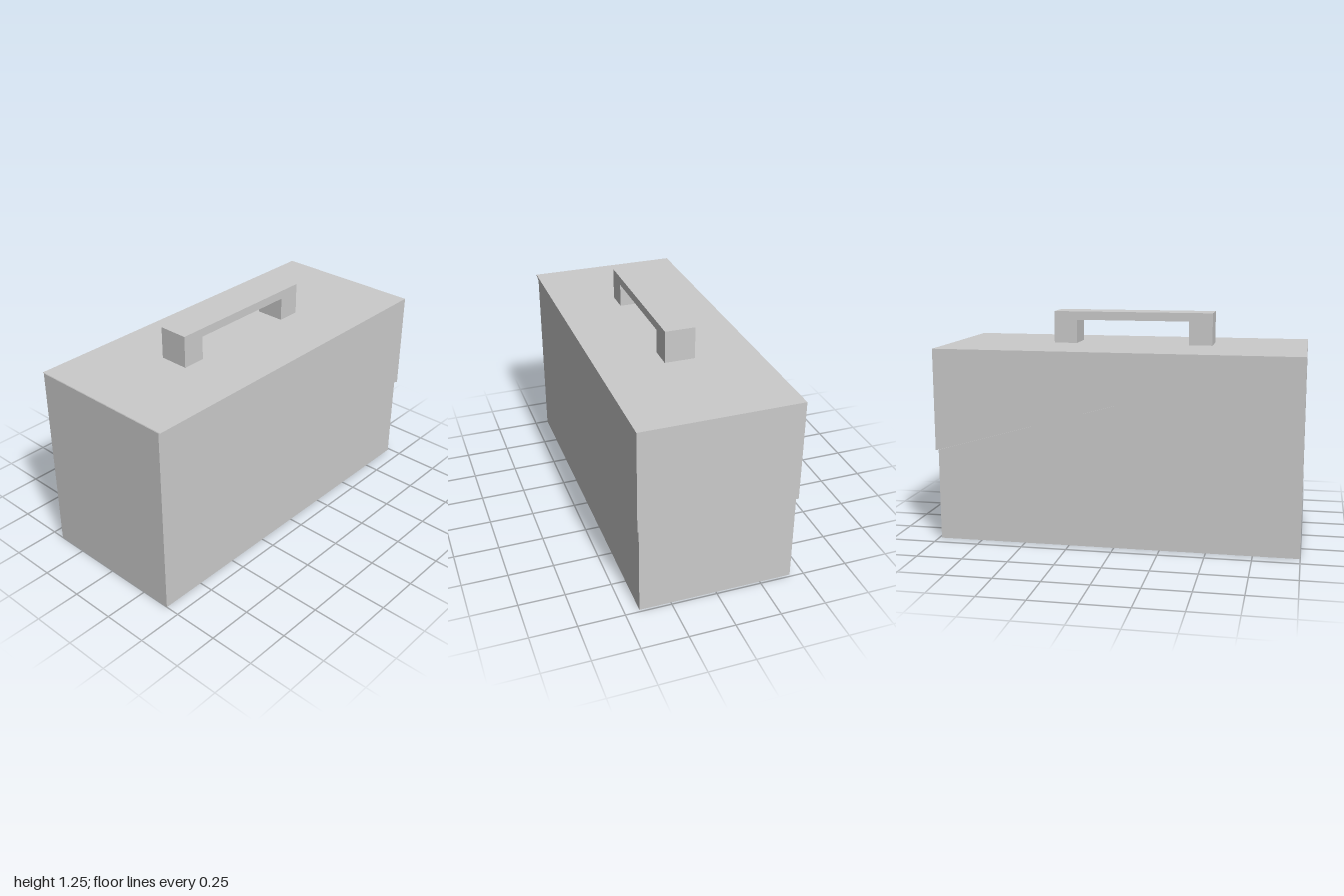
import * as THREE from 'three';

// Solid with a flat outline in x/y, extruded from z = back to z = front
function prism(name, outline, back, front) {
  const shape = new THREE.Shape(outline.map(([x, y]) => new THREE.Vector2(x, y)));
  const geometry = new THREE.ExtrudeGeometry(shape, { depth: front - back, bevelEnabled: false });
  geometry.translate(0, 0, back);
  const mesh = new THREE.Mesh(geometry, new THREE.MeshStandardMaterial({ color: 0xcccccc }));
  mesh.name = name;
  return mesh;
}

export function createModel() {
  const model = new THREE.Group();
  model.name = 'carryCase';

  // Lower half of the case, with a sloping upper face
  model.add(prism('caseBody', [[-1, 0], [0.986, 0], [0.986, 0.506], [-1, 1.064]], -0.425, 0.421));

  // Wedge-shaped lid, slightly larger than the body
  model.add(prism('lid', [[-1, 1.064], [1, 0.504], [1, 1.068], [-0.998, 1.068]], -0.432, 0.432));

  // Carrying handle: two feet joined by a flat grip
  const left = -0.486, right = 0.406, foot = 0.13;
  const bottom = 1.076, under = 1.206, top = 1.253;
  model.add(prism('handle', [
    [left, bottom], [left + foot, bottom], [left + foot, under],
    [right - foot, under], [right - foot, bottom], [right, bottom],
    [right, top], [left, top],
  ], -0.083, 0.083));

  return model;
}
